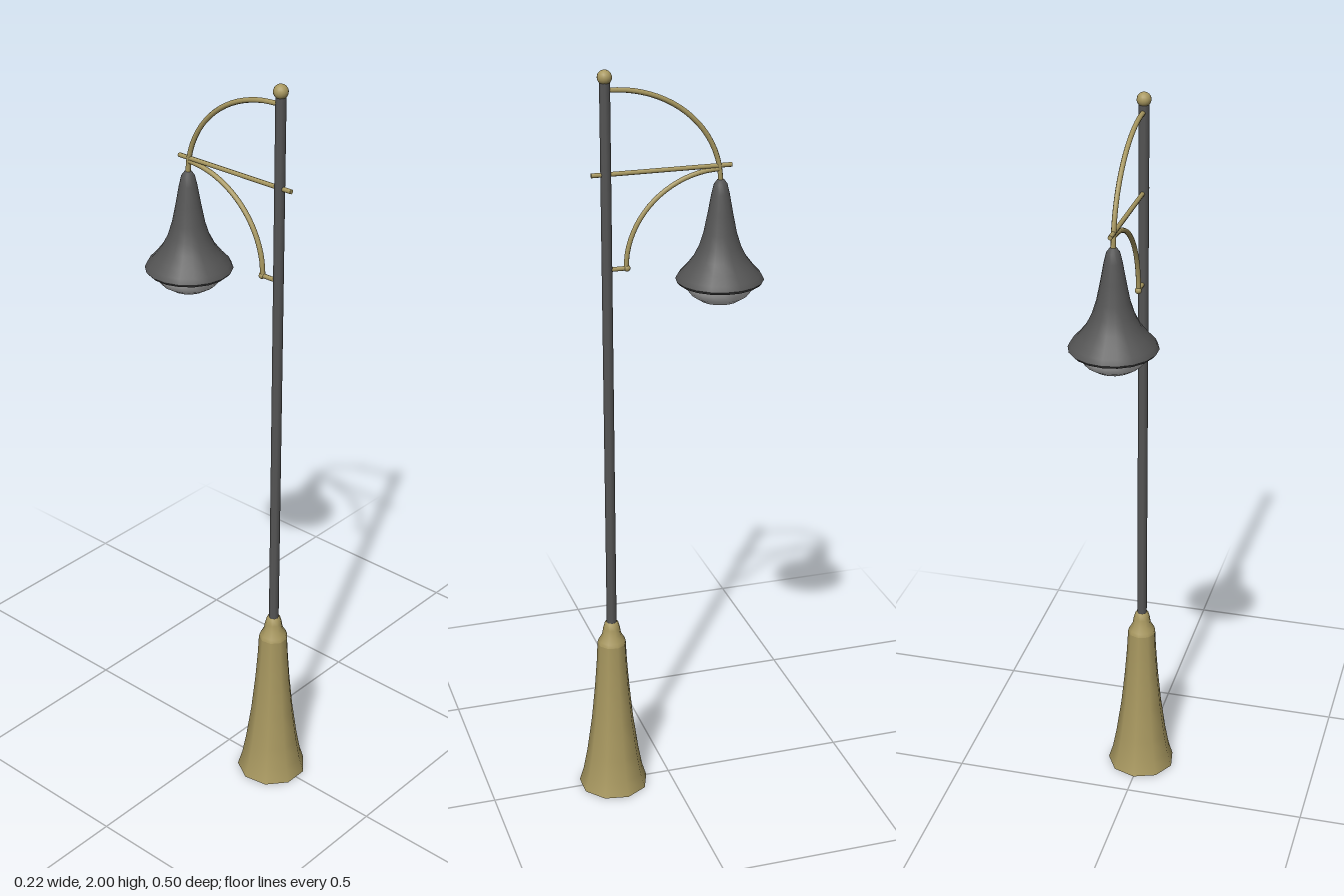
import * as THREE from 'three';

const POLE_Z = 0.16, LAMP_Z = -0.137;

const brass = new THREE.MeshStandardMaterial({ color: 0xa89860, side: THREE.DoubleSide });
const iron = new THREE.MeshStandardMaterial({ color: 0x555555, side: THREE.DoubleSide });
const glass = new THREE.MeshStandardMaterial({ color: 0xcccccc, side: THREE.DoubleSide });

export function createModel() {
  const group = new THREE.Group();

  const add = (name, geometry, material, y = 0, z = 0) => {
    const mesh = new THREE.Mesh(geometry, material);
    mesh.name = name;
    mesh.position.set(0, y, z);
    group.add(mesh);
    return mesh;
  };

  // Turned part from [radius, height] pairs, listed bottom to top
  const turned = (name, profile, sides, material, z) =>
    add(name, new THREE.LatheGeometry(
      profile.map(([r, y]) => new THREE.Vector2(r, y)), sides, Math.PI), material, 0, z);

  // Round bar lying along z
  const bar = (name, radius, y, z0, z1) => {
    const geometry = new THREE.CylinderGeometry(radius, radius, Math.abs(z1 - z0), 8);
    add(name, geometry.rotateX(Math.PI / 2), brass, y, (z0 + z1) / 2);
  };

  // Quarter-ellipse rod in the plane x = 0
  const arc = (name, cz, cy, rz, ry, a0, a1) => {
    const points = [];
    for (let i = 0; i <= 10; i++) {
      const a = a0 + (a1 - a0) * i / 10;
      points.push(new THREE.Vector3(0, cy + ry * Math.sin(a), cz + rz * Math.cos(a)));
    }
    add(name, new THREE.TubeGeometry(new THREE.CatmullRomCurve3(points), 20, 0.0065, 8), brass);
  };

  // Flared nine-sided base, open underneath, with its collar
  turned('base', [[0.095, 0], [0.083, 0.04], [0.072, 0.1], [0.058, 0.2],
    [0.048, 0.3], [0.042, 0.38], [0.039, 0.44]], 9, brass, POLE_Z);
  turned('baseCollar', [[0.039, 0.44], [0.036, 0.45], [0.026, 0.467],
    [0.023, 0.485], [0.018, 0.503], [0.012, 0.504]], 9, brass, POLE_Z);

  // Pole and finial
  add('pole', new THREE.CylinderGeometry(0.0135, 0.0135, 1.49, 9), iron, 1.235, POLE_Z);
  add('finial', new THREE.SphereGeometry(0.0185, 16, 12), brass, 1.9815, POLE_Z);

  // Bracket: cross bar, two arcs and the lower stub with its knob
  bar('crossBar', 0.006, 1.742, 0.197, -0.166);
  arc('upperArc', 0.15, 1.7, 0.287, 0.25, Math.PI / 2, Math.PI);
  arc('lowerArc', LAMP_Z, 1.498, 0.247, 0.236, 0, Math.PI / 2);
  bar('lowerStub', 0.006, 1.498, POLE_Z, 0.105);
  add('stubKnob', new THREE.SphereGeometry(0.009, 10, 8), brass, 1.498, 0.108);

  // Bell-shaped lamp: shade, rim underside and glass bowl
  turned('lampShade', [[0.113, 1.446], [0.106, 1.46], [0.088, 1.479], [0.068, 1.505],
    [0.053, 1.535], [0.042, 1.57], [0.032, 1.62], [0.023, 1.67], [0.017, 1.695],
    [0.009, 1.706], [0, 1.707]], 18, iron, LAMP_Z);
  turned('lampRim', [[0.088, 1.438], [0.106, 1.438], [0.113, 1.446]], 18, iron, LAMP_Z);
  turned('lampGlass', [[0, 1.376], [0.025, 1.384], [0.05, 1.392], [0.072, 1.406],
    [0.086, 1.424], [0.093, 1.442]], 18, glass, LAMP_Z);

  return group;
}
